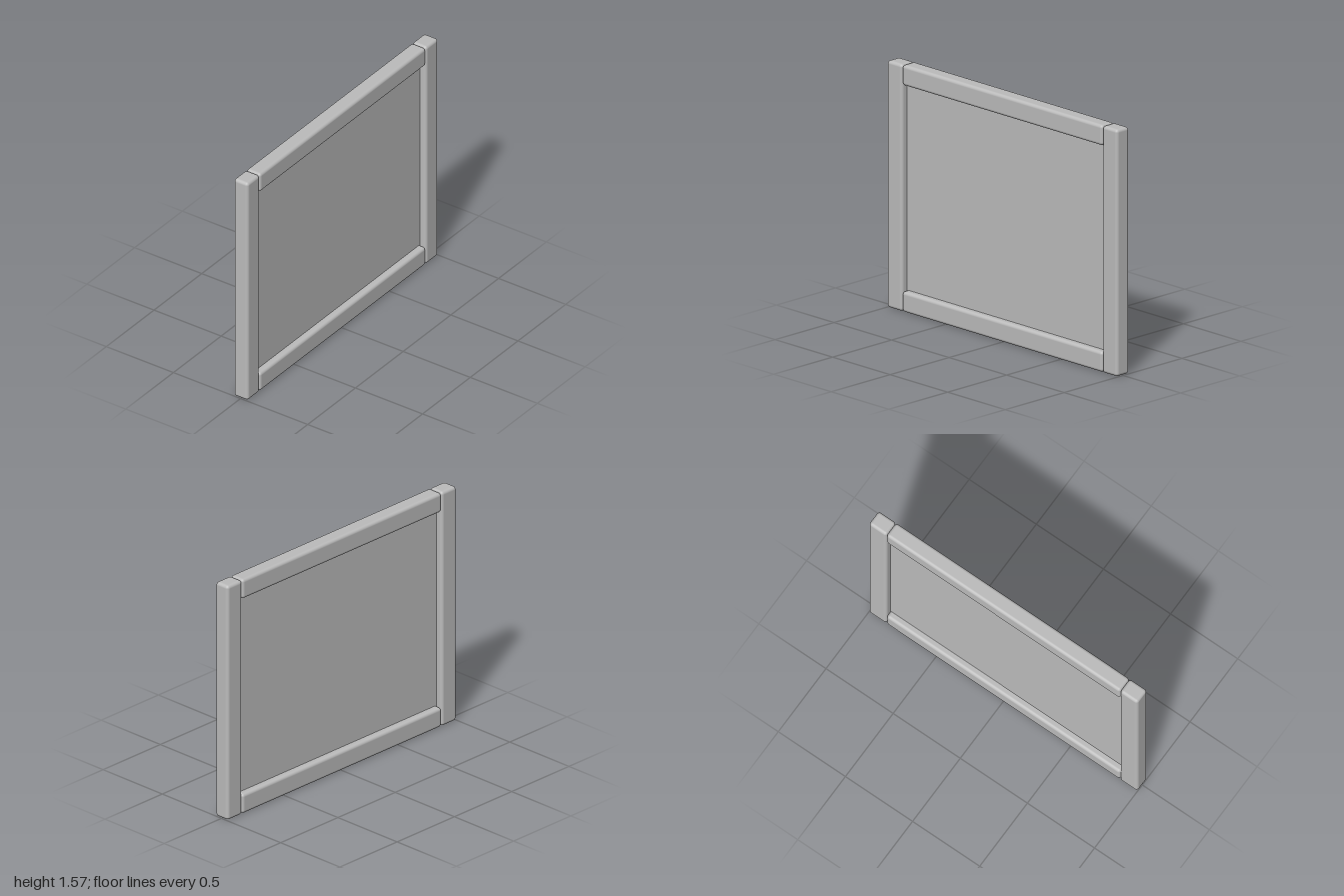
import * as THREE from 'three';
import { RoundedBoxGeometry } from 'three/addons/geometries/RoundedBoxGeometry.js';

const HEIGHT = 1.57, DEPTH = 0.105, BAR = 0.13, RADIUS = 0.02;

export function createModel() {
  const model = new THREE.Group();
  model.name = 'framedPanel';
  const grey = new THREE.MeshStandardMaterial({ color: 0xbcbcbc });
  grey.name = 'plain grey';

  const add = (name, geometry, x, y) => {
    const mesh = new THREE.Mesh(geometry, grey);
    mesh.name = name;
    mesh.position.set(x, y, 0);
    model.add(mesh);
  };

  // Full-height posts at both sides
  const post = new RoundedBoxGeometry(BAR, HEIGHT, DEPTH, 4, RADIUS);
  add('leftPost', post, 1 - BAR / 2, HEIGHT / 2);
  add('rightPost', post, -1 + BAR / 2, HEIGHT / 2);

  // Rails fitted between the posts
  const rail = new RoundedBoxGeometry(2 - 2 * BAR, BAR, DEPTH, 4, RADIUS);
  add('topRail', rail, 0, HEIGHT - BAR / 2);
  add('bottomRail', rail, 0, BAR / 2);

  // Thin infill panel, its edges let slightly into the frame
  const inset = 0.01;
  const panel = new THREE.BoxGeometry(2 - 2 * BAR + 2 * inset, HEIGHT - 2 * BAR + 2 * inset, 0.016);
  add('panel', panel, 0, HEIGHT / 2);

  return model;
}
